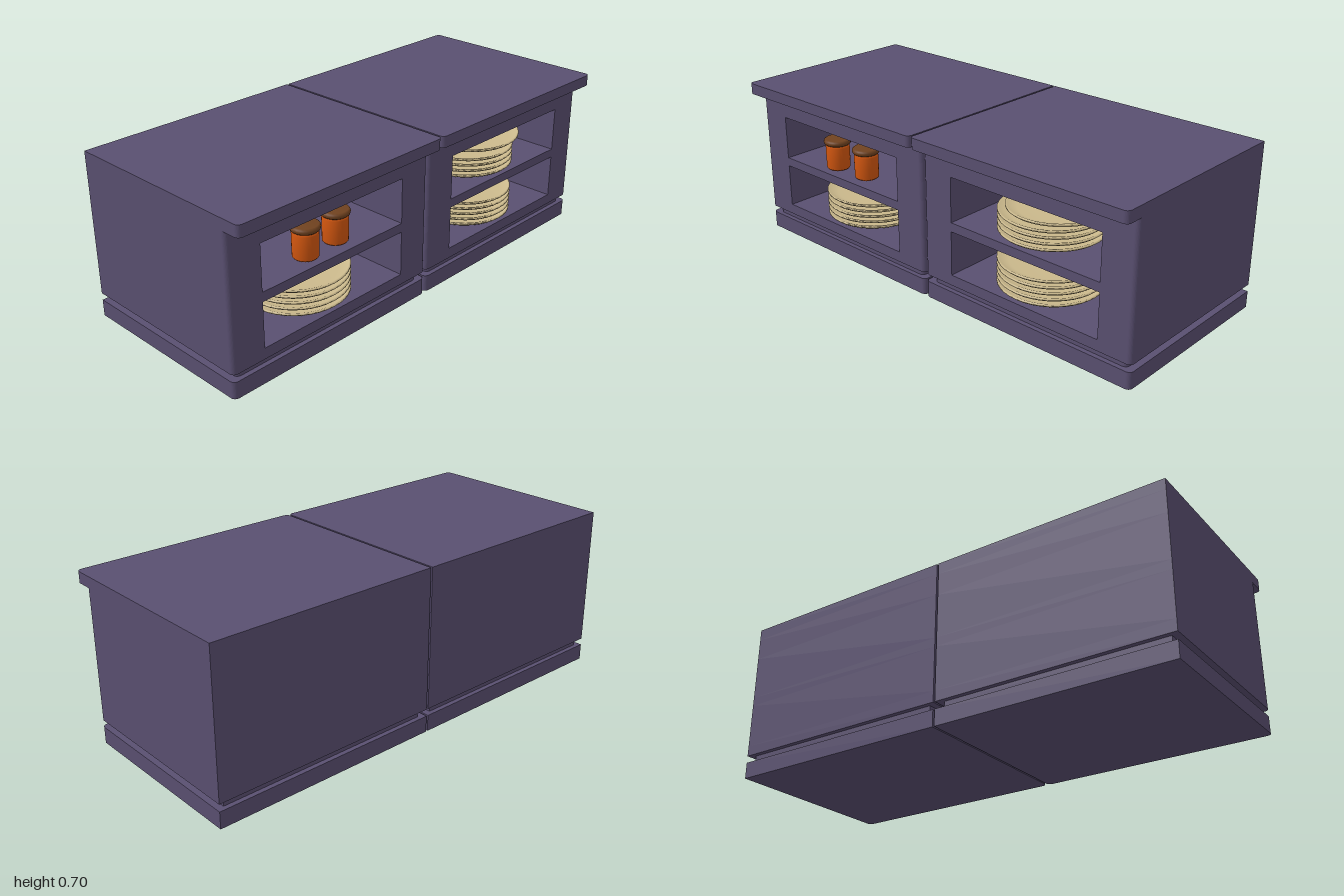
import * as THREE from 'three';

const material = (name, color) => {
  const m = new THREE.MeshStandardMaterial({ color });
  m.name = name;
  return m;
};

export function createModel() {
  const paint = material('purplePaint', 0x594f70);
  const china = material('creamChina', 0xcbb98c);
  const clay = material('orangeJar', 0xd2560f);
  const wood = material('brownLid', 0x70421f);

  const model = new THREE.Group();
  model.name = 'sideboard';

  const add = (parent, name, geometry, mat, x = 0, y = 0, z = 0) => {
    const mesh = new THREE.Mesh(geometry, mat);
    mesh.name = name;
    mesh.position.set(x, y, z);
    parent.add(mesh);
    return mesh;
  };

  // Slab with rounded front corners, and optionally a niche open to the front
  const slab = (halfWidth, back, front, y0, y1, niche) => {
    const r = 0.02, s = new THREE.Shape();
    s.moveTo(-halfWidth, -back);
    s.lineTo(-halfWidth, -front + r);
    s.absarc(-halfWidth + r, -front + r, r, Math.PI, Math.PI * 1.5, false);
    if (niche) {
      s.lineTo(-niche.half, -front);
      s.lineTo(-niche.half, -niche.back);
      s.lineTo(niche.half, -niche.back);
      s.lineTo(niche.half, -front);
    }
    s.absarc(halfWidth - r, -front + r, r, Math.PI * 1.5, Math.PI * 2, false);
    s.lineTo(halfWidth, -back);
    s.closePath();
    const g = new THREE.ExtrudeGeometry(s, { depth: y1 - y0, bevelEnabled: false, curveSegments: 4 });
    g.rotateX(-Math.PI / 2);
    g.translate(0, y0, 0);
    return g;
  };

  const lathe = (points, segments) =>
    new THREE.LatheGeometry(points.map(([x, y]) => new THREE.Vector2(x, y)), segments);

  // Cabinet parts, from the floor up
  const niche = { half: 0.353, back: -0.32 };
  const half = 0.498;
  const parts = [
    ['plinth', slab(half, -0.43, 0.362, 0, 0.07)],
    ['recessedNeck', slab(0.468, -0.41, 0.342, 0.07, 0.1)],
    ['lowerFloor', slab(half, -0.43, 0.362, 0.1, 0.145)],
    ['lowerNiche', slab(half, -0.43, 0.362, 0.145, 0.332, niche)],
    ['middleShelf', slab(half, -0.43, 0.362, 0.332, 0.37)],
    ['upperNiche', slab(half, -0.43, 0.362, 0.37, 0.558, niche)],
    ['header', slab(half, -0.43, 0.362, 0.558, 0.653)],
    ['worktop', slab(half, -0.43, 0.43, 0.653, 0.7)],
  ];
  for (const side of [-1, 1]) {
    const cabinet = new THREE.Group();
    cabinet.name = side > 0 ? 'leftCabinet' : 'rightCabinet';
    cabinet.position.x = side * 0.502;
    for (const [name, geometry] of parts) add(cabinet, name, geometry, paint);
    model.add(cabinet);
  }

  // Stacked plates
  const plate = lathe([[0, 0], [0.17, 0], [0.2, 0.01], [0.21, 0.018], [0.21, 0.024],
    [0.203, 0.024], [0.165, 0.008], [0, 0.008]], 40);
  const stack = (name, x, y, count) => {
    const group = new THREE.Group();
    group.name = name;
    for (let i = 0; i < count; i++) add(group, 'plate', plate, china, 0, i * 0.0245);
    group.position.set(x, y, 0.155);
    model.add(group);
  };
  stack('rightPlateStack', -0.515, 0.146, 5);
  stack('leftLowerPlateStack', 0.48, 0.146, 5);
  stack('leftUpperPlateStack', 0.48, 0.371, 4 + 0);
  const loosePlate = add(model, 'tiltedPlate', plate, china, 0.52, 0.478, 0.155);
  loosePlate.rotation.z = 0.035;

  // Jars with round-edged lids
  const jarBody = lathe([[0, 0], [0.045, 0], [0.05, 0.006], [0.051, 0.055], [0.051, 0.1],
    [0.045, 0.112], [0, 0.112]], 24);
  const jarLid = lathe([[0, 0], [0.05, 0], [0.056, 0.005], [0.058, 0.013], [0.056, 0.02],
    [0.05, 0.025], [0, 0.026]], 24);
  for (const [x, y, z] of [[-0.59, 0.378, 0.295], [-0.425, 0.374, 0.28]]) {
    const jar = new THREE.Group();
    jar.name = 'jar';
    add(jar, 'jarBody', jarBody, clay);
    add(jar, 'jarLid', jarLid, wood, 0, 0.109);
    jar.position.set(x, y, z);
    model.add(jar);
  }

  return model;
}
